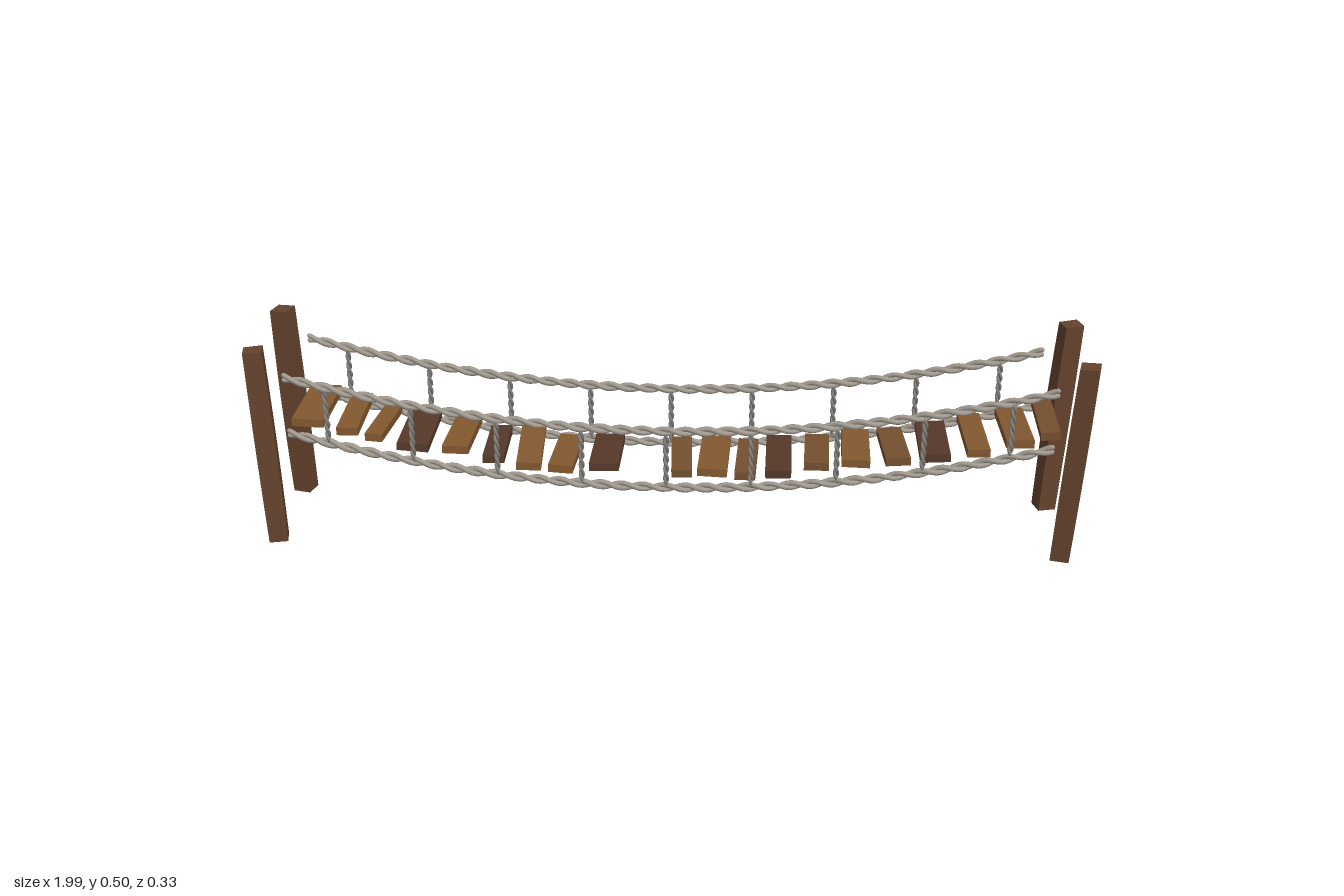
import * as THREE from 'three';

const flat = (name, color) => {
  const m = new THREE.MeshStandardMaterial({ color });
  m.name = name;
  return m;
};
const mats = {
  post: flat('postWood', 0x65422d),
  light: flat('lightPlank', 0x83582f),
  mid: flat('midPlank', 0x75502f),
  dark: flat('darkPlank', 0x56392a),
  rope: flat('rope', 0xa39c92),
  hanger: flat('hangerRope', 0x85827d),
};

// Sagging line shared by the ropes
const sag = (x, low, high) => low + (high - low) * (x / 0.905) ** 2;

// One helical strand wound around a straight or sagging centre line
class Strand extends THREE.Curve {
  constructor(center, radius, turns, phase, vertical) {
    super();
    Object.assign(this, { center, radius, turns, phase, vertical });
  }
  getPoint(t, target = new THREE.Vector3()) {
    const a = t * this.turns * Math.PI * 2 + this.phase;
    const c = Math.cos(a) * this.radius, s = Math.sin(a) * this.radius;
    this.center(t, target);
    if (this.vertical) target.x += c;
    else target.y += c;
    target.z += s;
    return target;
  }
}

function twistedRope(name, center, o) {
  const g = new THREE.Group();
  g.name = name;
  for (let i = 0; i < 2; i++) {
    const curve = new Strand(center, o.helix, o.turns, i * Math.PI, o.vertical);
    const geo = new THREE.TubeGeometry(curve, Math.ceil(o.turns * 10), o.radius, 6);
    const strand = new THREE.Mesh(geo, o.material);
    strand.name = 'strand';
    g.add(strand);
    // Closed strand ends
    for (const t of [0, 1]) {
      const end = new THREE.Mesh(new THREE.SphereGeometry(o.radius, 6, 4), o.material);
      end.name = 'strandEnd';
      end.position.copy(curve.getPoint(t));
      g.add(end);
    }
  }
  return g;
}

// Slightly leaning, bowed square post
function post(name, xTop, xBottom, z, yaw, bow) {
  const geo = new THREE.BoxGeometry(0.045, 0.5, 0.045, 1, 6, 1);
  geo.rotateY(yaw);
  const p = geo.attributes.position;
  for (let i = 0; i < p.count; i++) {
    const y = p.getY(i) + 0.25, t = y / 0.5;
    const swell = 1 + 0.06 * Math.sin(t * Math.PI);
    p.setXYZ(i,
      p.getX(i) * swell + xBottom + (xTop - xBottom) * t,
      y + (t > 0.99 ? p.getX(i) * 0.06 - 0.001 : 0),
      p.getZ(i) * swell + z + bow * Math.sin(t * Math.PI));
  }
  geo.computeVertexNormals();
  const m = new THREE.Mesh(geo, mats.post);
  m.name = name;
  return m;
}

// Plank rows: x centre, width, back z, front z, yaw
const planks = [
  [-0.872, 0.076, -0.123, 0.096, 0.02, 'light'],
  [-0.781, 0.052, -0.123, 0.086, 0.03, 'light'],
  [-0.708, 0.042, -0.102, 0.091, -0.06, 'light'],
  [-0.620, 0.076, -0.107, 0.096, 0.01, 'dark'],
  [-0.518, 0.064, -0.123, 0.070, -0.03, 'light'],
  [-0.427, 0.052, -0.096, 0.096, 0.03, 'dark'],
  [-0.345, 0.060, -0.123, 0.102, 0.06, 'light'],
  [-0.257, 0.060, -0.086, 0.102, -0.05, 'light'],
  [-0.158, 0.072, -0.107, 0.075, -0.01, 'dark'],
  [0.027, 0.050, -0.102, 0.086, 0.04, 'mid'],
  [0.107, 0.072, -0.118, 0.091, -0.03, 'light'],
  [0.187, 0.050, -0.091, 0.107, -0.04, 'mid'],
  [0.265, 0.062, -0.102, 0.102, -0.02, 'dark'],
  [0.358, 0.060, -0.102, 0.080, -0.04, 'mid'],
  [0.452, 0.068, -0.107, 0.075, -0.03, 'light'],
  [0.543, 0.060, -0.091, 0.091, 0.06, 'mid'],
  [0.636, 0.072, -0.102, 0.107, -0.02, 'dark'],
  [0.733, 0.054, -0.102, 0.107, 0.02, 'light'],
  [0.829, 0.066, -0.096, 0.107, 0.01, 'light'],
  [0.904, 0.046, -0.118, 0.102, -0.04, 'mid'],
];

export function createModel() {
  const model = new THREE.Group();
  model.name = 'ropeBridge';

  // Corner posts
  model.add(
    post('leftFrontPost', 0.967, 0.945, 0.135, -0.25, 0.001),
    post('leftBackPost', 0.967, 0.945, -0.132, 0.25, -0.004),
    post('rightFrontPost', -0.972, -0.958, 0.132, 0.22, -0.001),
    post('rightBackPost', -0.972, -0.958, -0.138, -0.25, 0.002),
  );

  // Foot ropes, hand ropes and hangers on both sides
  for (const [side, z] of [['front', 0.12], ['back', -0.131]]) {
    for (const [part, low, high] of [['FootRope', 0.158, 0.28], ['HandRope', 0.306, 0.424]]) {
      model.add(twistedRope(side + part, (t, v) => {
        const x = -0.905 + 1.81 * t;
        return v.set(x - 0.003, sag(x, low, high), z);
      }, { helix: 0.006, radius: 0.0065, turns: 18, material: mats.rope }));
    }
    for (let i = -4; i <= 4; i++) {
      const x = i * 0.2025 - 0.005;
      const y0 = sag(x, 0.158, 0.28), y1 = sag(x, 0.306, 0.424);
      model.add(twistedRope(side + 'Hanger', (t, v) => v.set(x, y0 + (y1 - y0) * t, z),
        { helix: 0.0035, radius: 0.004, turns: 3, material: mats.hanger, vertical: true }));
    }
  }

  // Uneven walking planks, with one missing near the middle
  planks.forEach(([x, w, back, front, yaw, tone], i) => {
    const m = new THREE.Mesh(new THREE.BoxGeometry(w, 0.02, front - back), mats[tone]);
    m.name = 'plank';
    m.position.set(x, 0.178 + 0.152 * x * x, (back + front) / 2);
    m.rotation.set(-0.02 + 0.025 * Math.sin(i * 2.3), yaw, 0.04 * Math.sin(i * 1.7) + 0.05 * x);
    model.add(m);
  });

  return model;
}
